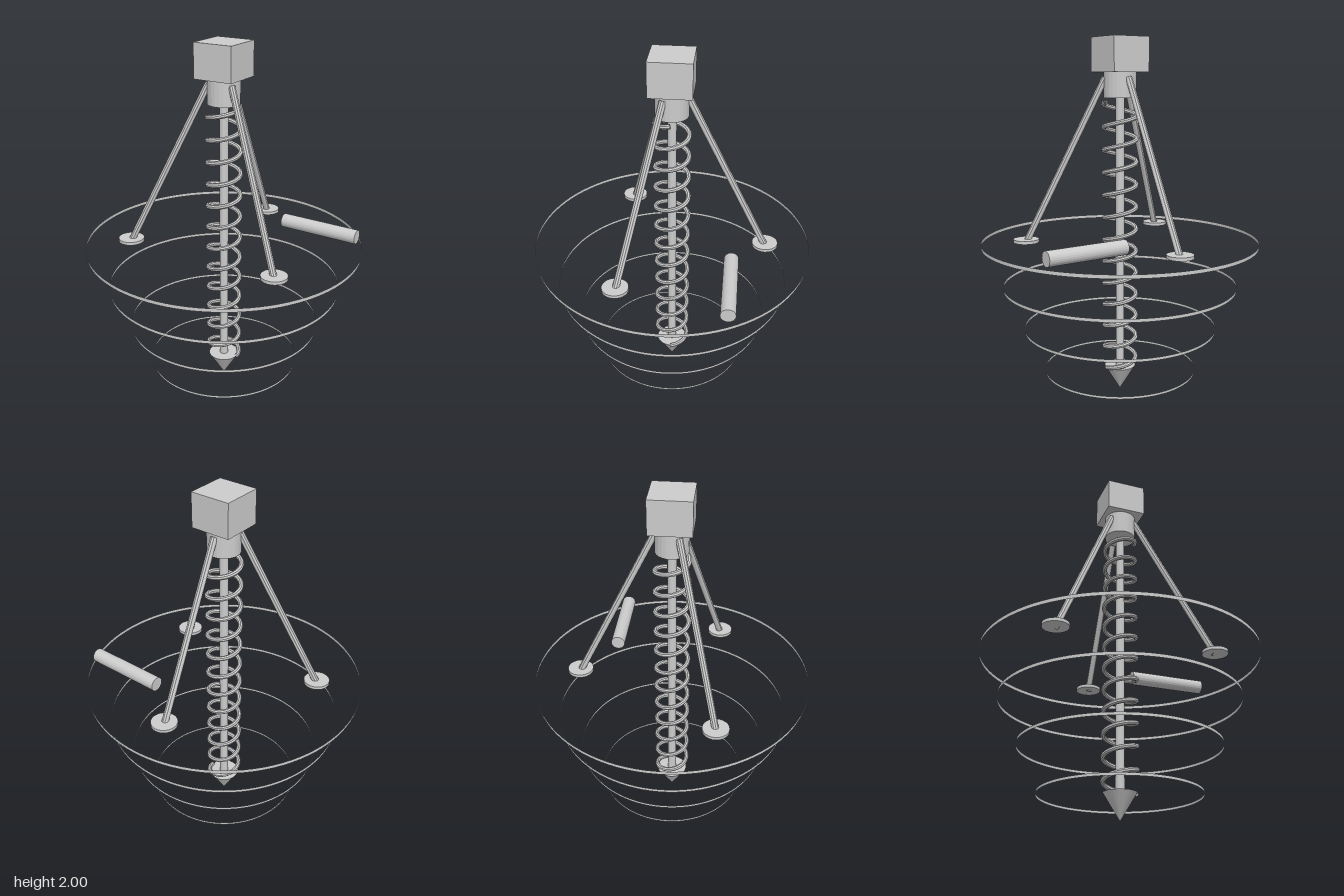
import * as THREE from 'three';

const lightGrey = new THREE.MeshStandardMaterial({ color: 0xcccccc, flatShading: true });
lightGrey.name = 'lightGrey';
const bandGrey = new THREE.MeshStandardMaterial({ color: 0xcccccc, flatShading: true, side: THREE.DoubleSide });
bandGrey.name = 'lightGreyBand';

function addPart(parent, name, geometry, x = 0, y = 0, z = 0, material = lightGrey) {
  const mesh = new THREE.Mesh(geometry, material);
  mesh.name = name;
  mesh.position.set(x, y, z);
  parent.add(mesh);
  return mesh;
}

// Upright cylinder between two heights
const post = (r, y0, y1, sides) =>
  new THREE.CylinderGeometry(r, r, y1 - y0, sides).translate(0, (y0 + y1) / 2, 0);

// Round rod between two points
function addRod(parent, name, a, b, r) {
  const dir = b.clone().sub(a);
  const mid = a.clone().add(b).multiplyScalar(0.5);
  const rod = addPart(parent, name, new THREE.CylinderGeometry(r, r, dir.length(), 10), mid.x, mid.y, mid.z);
  rod.quaternion.setFromUnitVectors(new THREE.Vector3(0, 1, 0), dir.normalize());
}

// Rising right-handed coil
class Helix extends THREE.Curve {
  constructor(radius, y0, y1, turns) {
    super();
    Object.assign(this, { radius, y0, y1, turns });
  }
  getPoint(t, target = new THREE.Vector3()) {
    const a = t * this.turns * Math.PI * 2;
    return target.set(
      this.radius * Math.cos(a),
      this.y0 + t * (this.y1 - this.y0),
      -this.radius * Math.sin(a));
  }
}

export function createModel() {
  const model = new THREE.Group();
  model.name = 'drillProbe';

  // Motor head, collar, shaft and pointed tip
  addPart(model, 'head', new THREE.BoxGeometry(0.225, 0.186, 0.225), 0, 1.907, 0);
  addPart(model, 'collar', post(0.089, 1.677, 1.814, 24));
  addPart(model, 'shaft', post(0.0245, 0.14, 1.69, 16));
  addPart(model, 'tip', new THREE.CylinderGeometry(0.089, 0, 0.146, 24), 0, 0.073, 0);

  // Spiral flight around the shaft
  const coil = new Helix(0.09, 0.147, 1.656, 12);
  addPart(model, 'spiral', new THREE.TubeGeometry(coil, 360, 0.0135, 8, false), 0, 0, 0, bandGrey);

  // Three splayed legs with round feet
  for (let i = 0; i < 3; i++) {
    const a = 0.5 + (i * Math.PI * 2) / 3;
    const at = (r, y) => new THREE.Vector3(r * Math.cos(a), y, r * Math.sin(a));
    const leg = new THREE.Group();
    leg.name = 'leg' + (i + 1);
    addRod(leg, 'strut', at(0.523, 0.888), at(0.081, 1.785), 0.019);
    const foot = at(0.524, 0.896);
    addPart(leg, 'foot', new THREE.CylinderGeometry(0.072, 0.072, 0.018, 24), foot.x, foot.y, foot.z);
    model.add(leg);
  }

  // Thin hoops widening upward
  for (let i = 0; i < 4; i++) {
    const r = 0.431 + i * 0.1135;
    const h = 0.014 + i * 0.002;
    addPart(model, 'hoop' + (i + 1), new THREE.CylinderGeometry(r, r, h, 96, 1, true),
      0, 0.133 + i * 0.25, 0, bandGrey);
  }

  // Loose sample core lying behind
  const core = addPart(model, 'sampleCore', new THREE.CylinderGeometry(0.04, 0.04, 0.456, 24), 0.43, 0.937, -0.342);
  core.rotation.z = Math.PI / 2;

  return model;
}
